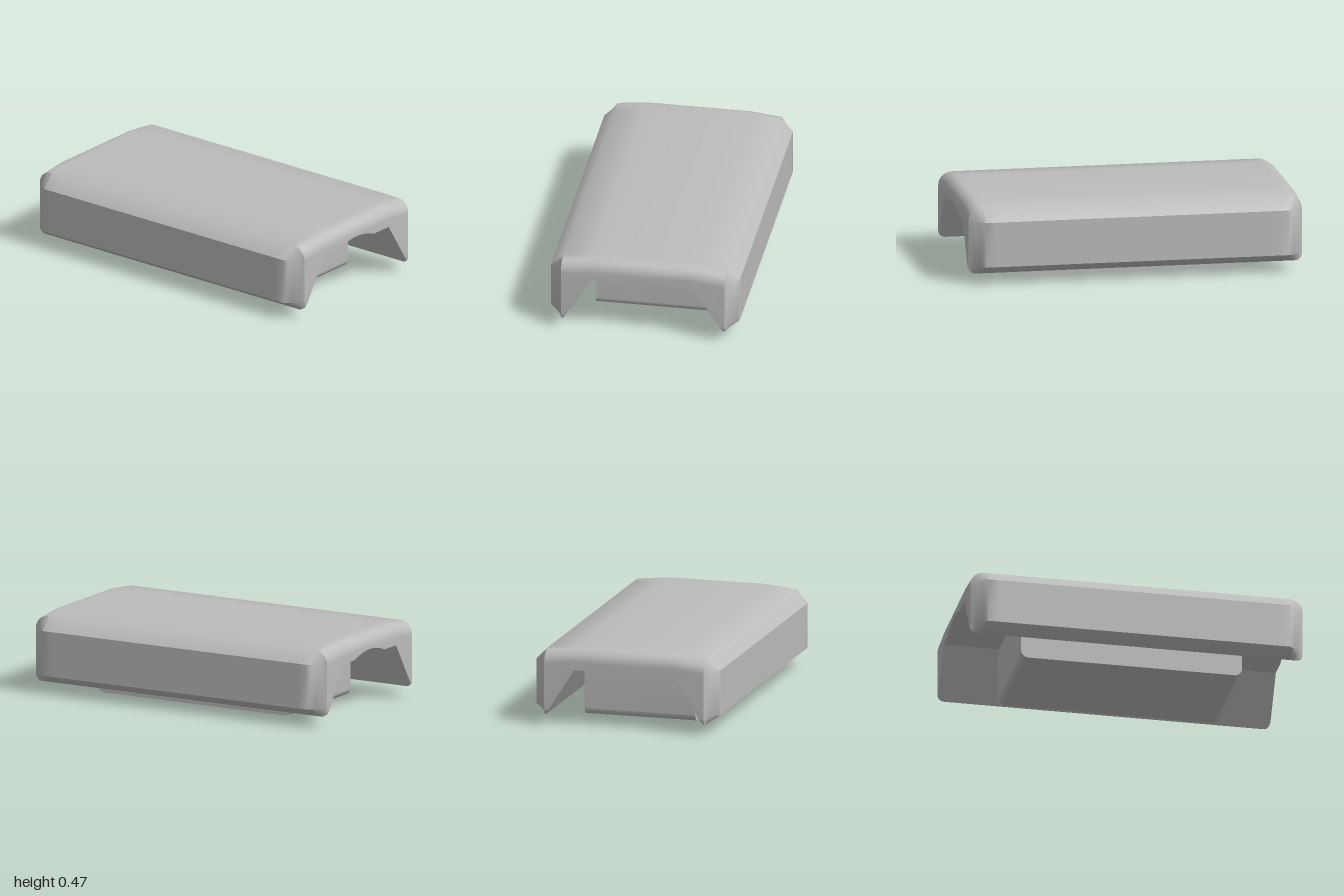
import * as THREE from 'three';
import { toCreasedNormals } from 'three/addons/utils/BufferGeometryUtils.js';

const END_R = 0.08; // rounding of the top edge at each end
const TIP_R = 0.04; // rounding of the lower skirt corners

// Cross-section [z, y] at the given |x|, counter-clockwise seen from +x
function section(x) {
  const pull = Math.max(0, (x - 0.91) / 0.09);
  const round = (r) => {
    const d = Math.max(0, x - (1 - r));
    return r - Math.sqrt(Math.max(0, r * r - d * d));
  };
  const drop = round(END_R);
  const lift = round(TIP_R);
  const front = 0.565 - 0.075 * pull;
  const half = [
    [0.305, 0.475 - drop],
    [0.49, 0.455 - drop],
    [front, 0.38 - 0.75 * drop],
    [front, 0.11 + 0.8 * lift],
    [0.49, 0.06 + lift],
    [0.487 - 0.65 * lift, 0.06 + lift],
    [0.305, 0.345],
    [0.17, 0.345],
  ];
  // Shallow arched groove under the plate
  const arch = [];
  for (let i = 1; i < 12; i++) {
    const t = 1 - i / 6;
    arch.push([0.17 * t, 0.345 + 0.035 * (1 - t * t)]);
  }
  const mirrored = half.map(([z, y]) => [-z, y]).reverse();
  return [...half, ...arch, ...mirrored];
}

// Loft the sections along x and close both ends
function shellGeometry() {
  const side = [0.84, 0.91];
  for (let i = 1; i <= 10; i++) side.push(0.92 + 0.08 * Math.sin((i / 10) * Math.PI / 2));
  const xs = [...side.map((x) => -x).reverse(), ...side];
  const loops = xs.map((x) => section(Math.abs(x)));
  const n = loops[0].length;
  const positions = [];
  const index = [];
  loops.forEach((loop, i) => loop.forEach(([z, y]) => positions.push(xs[i], y, z)));
  for (let i = 0; i < xs.length - 1; i++) {
    for (let j = 0; j < n; j++) {
      const k = (j + 1) % n;
      const a = i * n + j, b = i * n + k, c = a + n, d = b + n;
      index.push(a, b, c, b, d, c);
    }
  }
  const cap = loops[0].map(([z, y]) => new THREE.Vector2(z, y));
  const last = (xs.length - 1) * n;
  for (const [a, b, c] of THREE.ShapeUtils.triangulateShape(cap, [])) {
    const cross = cap[b].clone().sub(cap[a]).cross(cap[c].clone().sub(cap[a]));
    const [p, q] = cross > 0 ? [b, c] : [c, b];
    index.push(a, p, q, last + a, last + q, last + p);
  }
  const geometry = new THREE.BufferGeometry();
  geometry.setAttribute('position', new THREE.Float32BufferAttribute(positions, 3));
  geometry.setIndex(index);
  return toCreasedNormals(geometry, 0.74);
}

// Block with rounded lower edges, running along z
function blockGeometry() {
  const w = 0.665, r = 0.045, top = 0.346, depth = 0.68;
  const shape = new THREE.Shape();
  shape.moveTo(-w, top);
  shape.lineTo(-w, r);
  shape.absarc(-w + r, r, r, Math.PI, Math.PI * 1.5, false);
  shape.lineTo(w - r, 0);
  shape.absarc(w - r, r, r, -Math.PI / 2, 0, false);
  shape.lineTo(w, top);
  shape.closePath();
  const geometry = new THREE.ExtrudeGeometry(shape, { depth, bevelEnabled: false, curveSegments: 8 });
  geometry.translate(0, 0, -depth / 2);
  return toCreasedNormals(geometry, 0.6);
}

export function createModel() {
  const grey = new THREE.MeshStandardMaterial({ color: 0xbcbcbc });
  grey.name = 'plain grey';
  const group = new THREE.Group();
  group.name = 'cover';
  const add = (name, geometry) => {
    const mesh = new THREE.Mesh(geometry, grey);
    mesh.name = name;
    group.add(mesh);
  };
  add('shell', shellGeometry());
  add('centreBlock', blockGeometry());
  return group;
}
